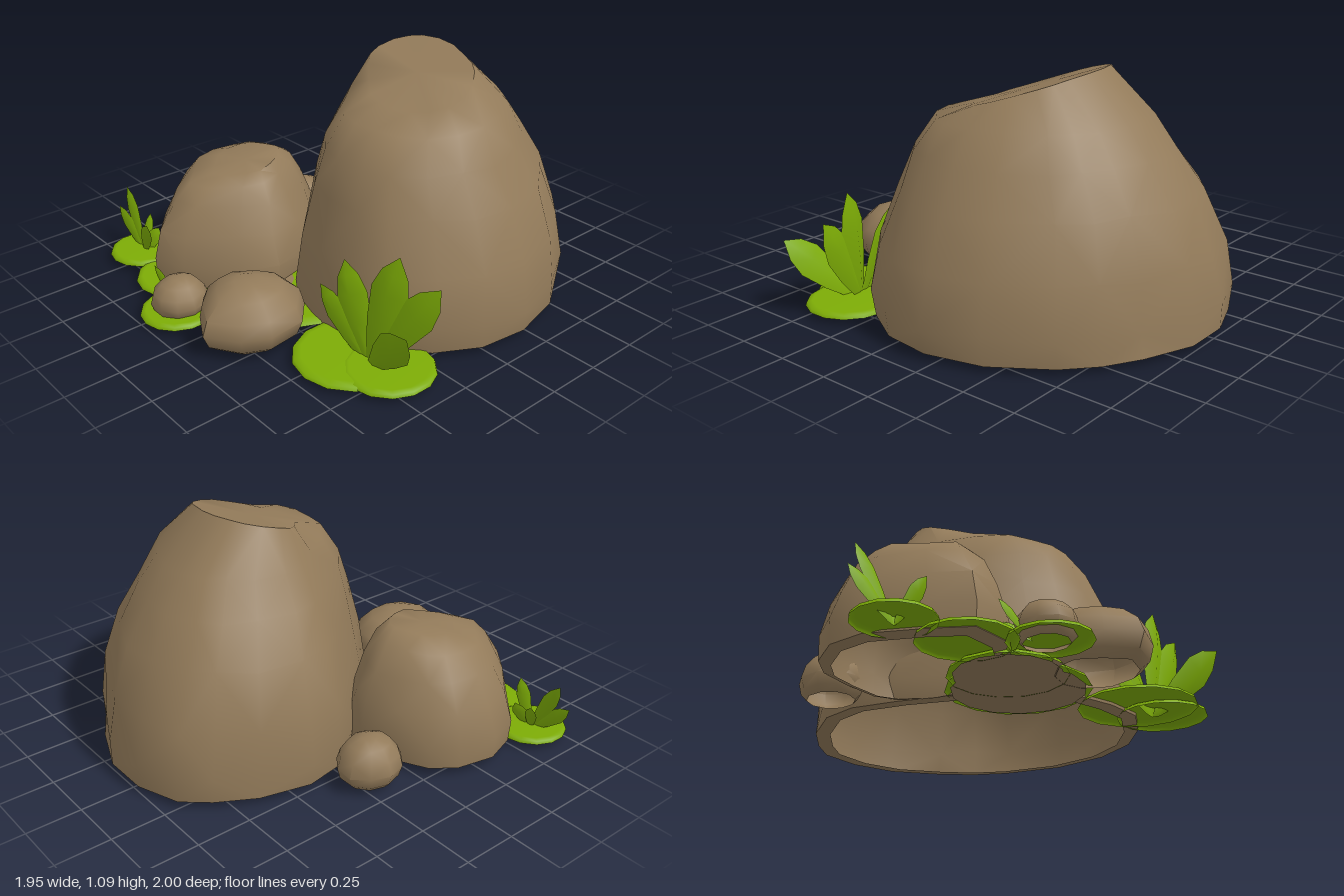
import * as THREE from 'three';
import { toCreasedNormals } from 'three/addons/utils/BufferGeometryUtils.js';

const stone = new THREE.MeshStandardMaterial({ name: 'brown stone', color: 0x937b5a, side: THREE.DoubleSide });
const green = new THREE.MeshStandardMaterial({ name: 'leaf green', color: 0x7dac06, side: THREE.DoubleSide });

// Repeatable value between -1 and 1, used to chip the stone slightly.
function chip(n) {
  const s = Math.sin(n * 12.9898 + 4.1) * 43758.5453;
  return (s - Math.floor(s)) * 2 - 1;
}

// Outline points are rescaled to fill -1..1 on both axes.
function normalise(points) {
  const xs = points.map(p => p[0]), zs = points.map(p => p[1]);
  const x0 = Math.min(...xs), x1 = Math.max(...xs), z0 = Math.min(...zs), z1 = Math.max(...zs);
  return points.map(([x, z]) => [2 * (x - x0) / (x1 - x0) - 1, 2 * (z - z0) / (z1 - z0) - 1]);
}

// Hollow boulder, open below, lofted through levels [y, x0, x1, z0, z1, tiltX, tiltZ].
function boulder(name, outline, levels, rough, seed) {
  const loop = normalise(outline), n = loop.length, pos = [], idx = [];
  levels.forEach(([y, x0, x1, z0, z1, tx = 0, tz = 0], k) => {
    const hx = (x1 - x0) / 2, hz = (z1 - z0) / 2;
    loop.forEach(([u, v], i) => {
      const r = 1 + rough * chip(seed + k * 31 + i * 7) * (k > 1 ? 1 : 0.2);
      const dy = k > 1 && k < levels.length - 1 ? rough * hx * chip(seed + k * 17 + i * 3) : 0;
      pos.push((x0 + x1) / 2 + u * hx * r, y + u * hx * tx + v * hz * tz + dy, (z0 + z1) / 2 + v * hz * r);
    });
    if (k === 0) return;
    for (let i = 0; i < n; i++) {
      const j = (i + 1) % n, a = (k - 1) * n + i, b = (k - 1) * n + j, c = k * n + j, d = k * n + i;
      if ((i + k) % 2) idx.push(a, d, c, a, c, b);
      else idx.push(a, d, b, d, c, b);
    }
  });
  // Close the crown
  const last = levels[levels.length - 1], centre = pos.length / 3, start = centre - n;
  pos.push((last[1] + last[2]) / 2, last[0], (last[3] + last[4]) / 2);
  for (let i = 0; i < n; i++) idx.push(centre, start + (i + 1) % n, start + i);
  const geo = new THREE.BufferGeometry();
  geo.setAttribute('position', new THREE.Float32BufferAttribute(pos, 3));
  geo.setIndex(idx);
  const mesh = new THREE.Mesh(toCreasedNormals(geo, 0.85), stone);
  mesh.name = name;
  return mesh;
}

// Rounded loose stone made of the same kind of levels.
function pebble(name, outline, [x0, x1, z0, z1], top, seed) {
  const cx = (x0 + x1) / 2, cz = (z0 + z1) / 2, hx = (x1 - x0) / 2, hz = (z1 - z0) / 2;
  const levels = [[0, 0.72], [0.13, 0.9], [0.36, 1], [0.62, 0.9], [0.86, 0.62], [0.98, 0.26]].map(([t, s]) =>
    [0.04 + t * (top - 0.04), cx - hx * s, cx + hx * s, cz - hz * s, cz + hz * s]);
  return boulder(name, outline, levels, 0.025, seed);
}

// Flat round ground leaf with a turned-down rim, open underneath.
function groundLeaf(x, z, r, y) {
  const profile = [[r, 0], [r * 0.97, 0.015], [r * 0.85, 0.021], [0, 0.021]].map(([a, b]) => new THREE.Vector2(a, b));
  const mesh = new THREE.Mesh(new THREE.LatheGeometry(profile, 14), green);
  mesh.name = 'groundLeaf';
  mesh.position.set(x, y, z);
  return mesh;
}

// Thin brown patch of ground.
function soil(x, z, r, y) {
  const mesh = new THREE.Mesh(new THREE.CircleGeometry(r, 14), stone);
  mesh.name = 'soilPatch';
  mesh.rotation.x = -Math.PI / 2;
  mesh.position.set(x, y, z);
  return mesh;
}

// Pointed blade from base to tip, broad side toward the front.
function blade(base, tip, width) {
  const a = new THREE.Vector3(...base), d = new THREE.Vector3(...tip).sub(a), len = d.length();
  const profile = [[0, 0], [0.3, 0.08], [0.78, 0.4], [1, 0.68], [0.7, 0.85], [0, 1]]
    .map(([r, t]) => new THREE.Vector2(r * width, t * len));
  const geo = new THREE.LatheGeometry(profile, 4);
  geo.scale(1, 1, 0.32);
  const up = d.normalize(), side = new THREE.Vector3().crossVectors(up, new THREE.Vector3(0.3, 0, 1)).normalize();
  const out = new THREE.Vector3().crossVectors(side, up);
  geo.applyMatrix4(new THREE.Matrix4().makeBasis(side, up, out).setPosition(a));
  const mesh = new THREE.Mesh(toCreasedNormals(geo, 0.7), green);
  mesh.name = 'blade';
  return mesh;
}

function plant(name, base, width, tips) {
  const g = new THREE.Group();
  g.name = name;
  tips.forEach(([x, y, z, w = 1]) => g.add(blade(base, [x, y, z], width * w)));
  return g;
}

export function createModel() {
  const model = new THREE.Group();
  model.name = 'rockGroup';

  // Large boulder with a sloping crown
  model.add(boulder('largeBoulder', [
    [-0.05, -1], [0.17, -1], [0.4, -0.91], [0.56, -0.82], [0.69, -0.7], [0.85, -0.46], [0.92, -0.2], [0.89, 0.03],
    [0.78, 0.22], [0.63, 0.37], [0.45, 0.42], [0.25, 0.43], [0.07, 0.38], [-0.13, 0.2], [-0.35, -0.05],
    [-0.48, -0.24], [-0.51, -0.42], [-0.45, -0.65], [-0.35, -0.82], [-0.25, -0.93]], [
    [0.045, -0.44, 0.85, -0.93, 0.36],
    [0.05, -0.5, 0.91, -1, 0.42],
    [0.16, -0.51, 0.92, -0.995, 0.43],
    [0.37, -0.49, 0.89, -0.96, 0.38],
    [0.6, -0.41, 0.8, -0.88, 0.32],
    [0.77, -0.31, 0.71, -0.77, 0.27],
    [0.91, -0.22, 0.62, -0.67, 0.17],
    [1.03, -0.12, 0.5, -0.47, 0.01, -0.07, -0.3]], 0.02, 3));

  // Medium boulder with a flat crown
  model.add(boulder('mediumBoulder', [
    [-0.45, -0.1], [-0.34, -0.08], [-0.2, 0.03], [-0.11, 0.2], [-0.06, 0.38], [-0.14, 0.53], [-0.33, 0.73],
    [-0.5, 0.78], [-0.65, 0.66], [-0.83, 0.48], [-0.88, 0.32], [-0.84, 0.14], [-0.76, 0.03], [-0.62, -0.04]], [
    [0.045, -0.81, -0.13, -0.04, 0.7],
    [0.06, -0.86, -0.07, -0.09, 0.76],
    [0.16, -0.87, -0.06, -0.1, 0.77],
    [0.3, -0.82, -0.11, -0.07, 0.73],
    [0.43, -0.76, -0.16, -0.02, 0.65],
    [0.52, -0.68, -0.21, 0.05, 0.57, 0, -0.08],
    [0.56, -0.56, -0.26, 0.13, 0.47, 0, -0.14]], 0.024, 11));

  // Loose stones
  const frontShape = [[0.1, 0.44], [0.22, 0.45], [0.34, 0.56], [0.36, 0.73], [0.3, 0.85], [0.16, 0.94],
    [0.02, 0.87], [-0.09, 0.77], [-0.1, 0.65], [-0.02, 0.51]];
  const round = Array.from({ length: 10 }, (_, i) => [Math.cos(i * Math.PI / 5), Math.sin(i * Math.PI / 5)]);
  model.add(pebble('frontStone', frontShape, [-0.1, 0.36, 0.44, 0.94], 0.305, 23));
  model.add(pebble('smallFrontStone', round, [-0.34, -0.09, 0.69, 0.94], 0.21, 37));
  model.add(pebble('smallBackStone', round, [-0.74, -0.46, -0.33, -0.04], 0.25, 51));

  // Ground leaves around the base, with soil between the boulders
  const pads = [[0.55, 0.46, 0.26], [0.73, 0.42, 0.2], [-0.78, 0.66, 0.165], [-0.47, 0.66, 0.2],
    [-0.21, 0.83, 0.17], [0, 0.34, 0.31], [-0.14, 0.46, 0.25]];
  pads.forEach(([x, z, r], i) => model.add(groundLeaf(x, z, r, 0.042 + 0.003 * (i % 3))));
  model.add(soil(0, 0.34, 0.285, 0.043), soil(-0.14, 0.46, 0.225, 0.043), soil(-0.16, 0.43, 0.17, 0.07));

  // Upright plants
  model.add(plant('largePlant', [0.64, 0.02, 0.45], 0.08, [
    [0.34, 0.29, 0.46, 0.75], [0.45, 0.44, 0.42], [0.75, 0.565, 0.39, 1.1], [0.93, 0.48, 0.34], [0.97, 0.37, 0.56]]));
  model.add(plant('sidePlant', [-0.78, 0.03, 0.66], 0.037, [
    [-0.94, 0.33, 0.64], [-0.98, 0.22, 0.67], [-0.84, 0.2, 0.58, 0.8], [-0.73, 0.17, 0.6], [-0.67, 0.24, 0.7]]));
  model.add(plant('smallPlant', [-0.27, 0.04, 0.8], 0.025, [[-0.43, 0.17, 0.81], [-0.36, 0.12, 0.74]]));

  return model;
}
